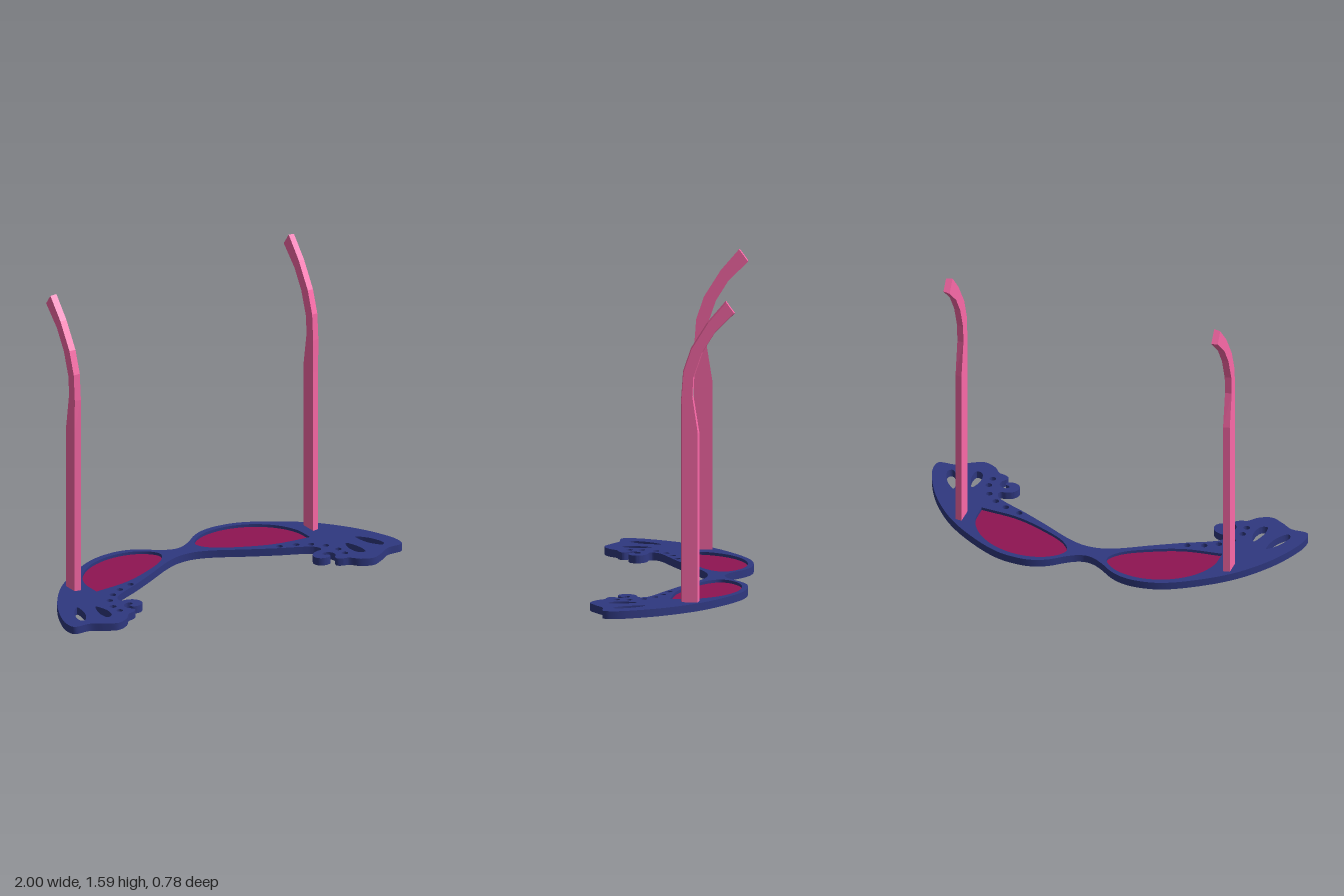
import * as THREE from 'three';
import { toCreasedNormals } from 'three/addons/utils/BufferGeometryUtils.js';

const navy = new THREE.MeshStandardMaterial({ color: 0x2f3880 });
const wine = new THREE.MeshStandardMaterial({ color: 0x8f1452 });
const pink = new THREE.MeshStandardMaterial({ color: 0xfb69a8 });

// Smooth curve through [x, z] points, returned as shape points (y = -z)
function smooth(points, closed, steps) {
  const curve = new THREE.CatmullRomCurve3(
    points.map(([x, z]) => new THREE.Vector3(x, -z, 0)), closed, 'centripetal');
  const pts = [];
  const count = closed ? steps : steps + 1;
  for (let i = 0; i < count; i++) {
    const p = curve.getPoint(i / steps);
    pts.push(new THREE.Vector2(p.x, p.y));
  }
  return pts;
}

const mirror = (points) => points.map(([x, z]) => [-x, z]);

// Flat plate lying in the xz plane from y = bottom upwards
function plate(shape, bottom, height) {
  const g = new THREE.ExtrudeGeometry(shape, { depth: height, bevelEnabled: false, curveSegments: 8 });
  g.rotateX(-Math.PI / 2);
  g.translate(0, bottom, 0);
  return toCreasedNormals(g, 0.6);
}

// Left half of the outline: bridge top, brow, wing lobes, curl, lower edge
const halfOutline = [
  [0, -0.257], [0.045, -0.267], [0.1, -0.3], [0.165, -0.35], [0.23, -0.38], [0.31, -0.39],
  [0.43, -0.372], [0.567, -0.305], [0.754, -0.166], [0.89, 0], [0.968, 0.15],
  [0.998, 0.25], [0.988, 0.31], [0.9, 0.318], [0.835, 0.358], [0.77, 0.387],
  [0.705, 0.362], [0.665, 0.318], [0.63, 0.308], [0.607, 0.29], [0.612, 0.27],
  [0.628, 0.25], [0.631, 0.222], [0.614, 0.2], [0.59, 0.195], [0.575, 0.208], [0.581, 0.221],
  [0.6, 0.226], [0.596, 0.249], [0.562, 0.256], [0.532, 0.24], [0.522, 0.21],
  [0.54, 0.175], [0.575, 0.158], [0.6, 0.155], [0.61, 0.138], [0.595, 0.105],
  [0.555, 0.078], [0.43, 0.02], [0.28, -0.058], [0.14, -0.135], [0.06, -0.165],
  [0, -0.172],
];

const lensOutline = [
  [0.645, -0.012], [0.638, -0.13], [0.58, -0.237], [0.475, -0.32], [0.34, -0.359],
  [0.21, -0.343], [0.13, -0.29], [0.108, -0.24], [0.155, -0.17], [0.29, -0.093],
  [0.45, -0.034], [0.645, -0.012],
];

const tearDrops = [
  [[0.838, 0.105], [0.842, 0.17], [0.862, 0.225], [0.9, 0.267], [0.918, 0.25], [0.905, 0.19], [0.872, 0.135]],
  [[0.755, 0.148], [0.778, 0.2], [0.787, 0.255], [0.778, 0.295], [0.748, 0.287], [0.732, 0.245], [0.735, 0.19]],
];

// Round perforations: x, z
const dots = [[0.45, 0.003], [0.532, 0.03], [0.598, 0.067], [0.652, 0.121], [0.68, 0.195], [0.68, 0.256]];

// Temple cross-sections from root to tip: front z, front y, back z, back y
const templeRungs = [
  [-0.07, 0.03, -0.162, 0.03], [-0.07, 0.91, -0.162, 0.91], [-0.07, 1.085, -0.132, 1.1],
  [-0.08, 1.225, -0.137, 1.196], [-0.12, 1.343, -0.18, 1.322], [-0.204, 1.478, -0.242, 1.423],
  [-0.297, 1.587, -0.343, 1.524],
];

// Bent arm with a slightly narrower outer face
function temple(side) {
  const inner = 0.701, outer = 0.735, inset = 0.07;
  const rings = templeRungs.map(([zf, yf, zb, yb]) => {
    const f = new THREE.Vector3(0, yf, zf), b = new THREE.Vector3(0, yb, zb);
    const ring = [f.clone(), f.clone().lerp(b, inset), b.clone().lerp(f, inset), b.clone()];
    ring.forEach((p, i) => { p.x = side * (i === 1 || i === 2 ? outer : inner); });
    return side > 0 ? ring : ring.reverse();
  });
  const corners = [];
  const quad = (a, b, c, d) => corners.push(a, b, c, a, c, d);
  for (let i = 0; i < rings.length - 1; i++) {
    for (let j = 0; j < 4; j++) {
      const k = (j + 1) % 4;
      quad(rings[i][j], rings[i][k], rings[i + 1][k], rings[i + 1][j]);
    }
  }
  const [r, t] = [rings[0], rings[rings.length - 1]];
  quad(r[3], r[2], r[1], r[0]);
  quad(t[0], t[1], t[2], t[3]);
  const g = new THREE.BufferGeometry().setFromPoints(corners);
  g.computeVertexNormals();
  return g;
}

export function createModel() {
  const model = new THREE.Group();
  model.name = 'maskGlasses';
  const add = (name, geometry, material) => {
    const mesh = new THREE.Mesh(geometry, material);
    mesh.name = name;
    model.add(mesh);
  };

  // Frame with lens openings, teardrops and dots cut through (outline counter-clockwise)
  const outline = halfOutline.concat(mirror(halfOutline.slice(1, -1)).reverse()).reverse();
  const frame = new THREE.Shape(smooth(outline, true, outline.length * 5));

  for (const side of [1, -1]) {
    const label = side > 0 ? 'left' : 'right';
    const place = (points) => (side > 0 ? points : mirror(points));

    const lens = smooth(place(lensOutline), false, 60).slice(0, -1);
    frame.holes.push(new THREE.Path(lens));
    for (const drop of tearDrops) frame.holes.push(new THREE.Path(smooth(place(drop), true, 30)));
    for (const [x, z] of dots) {
      frame.holes.push(new THREE.Path().absarc(side * x, -z, 0.017, 0, Math.PI * 2, true));
    }

    // Lens, recessed in its opening
    add(label + 'Lens', plate(new THREE.Shape(lens), 0.01, 0.015), wine);

    // Temple arm rising from the frame and bending at the tip
    add(label + 'Temple', temple(side), pink);
  }

  add('frame', plate(frame, 0, 0.04), navy);
  return model;
}
